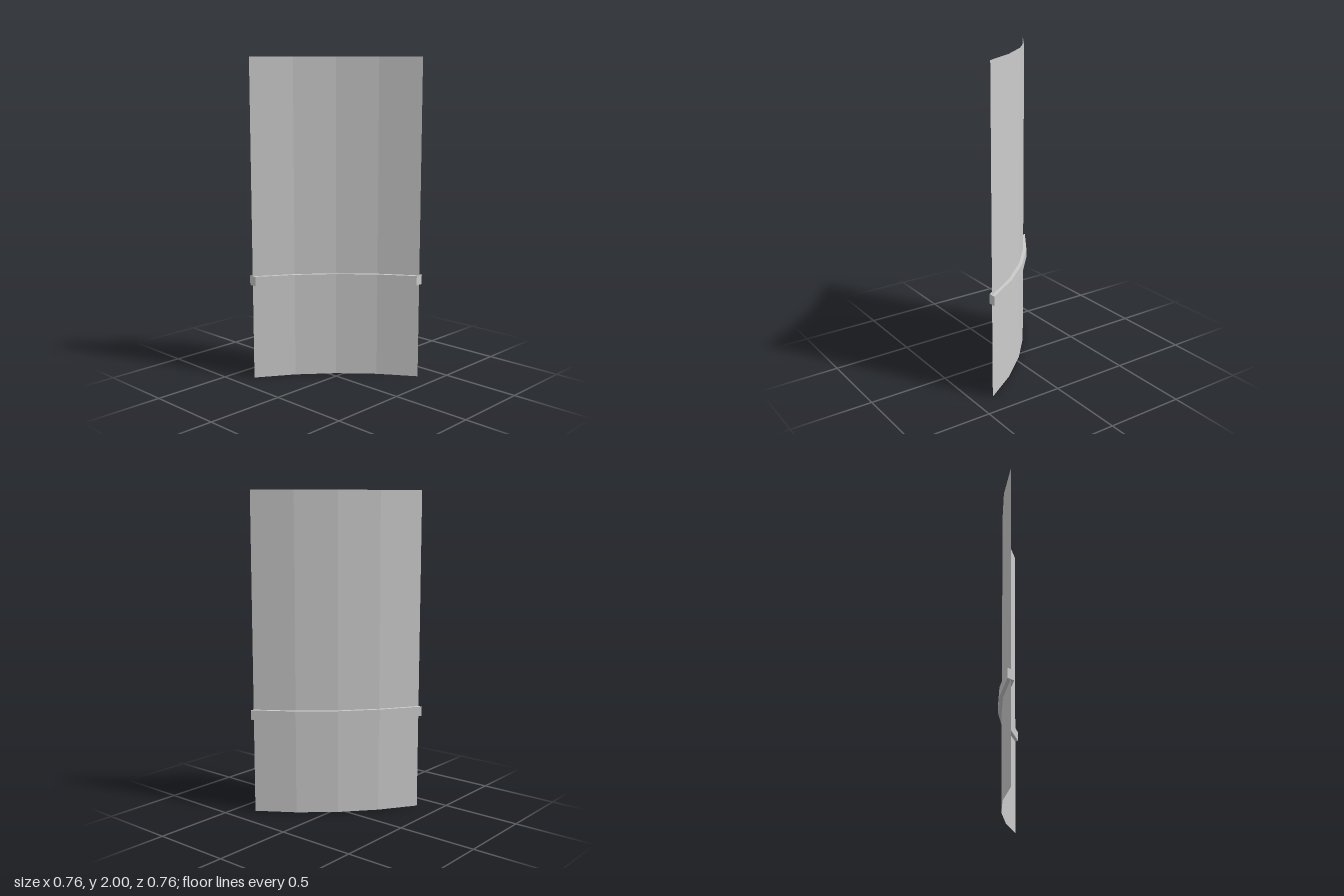
import * as THREE from 'three';

export function createModel() {
  const group = new THREE.Group();
  const sheetMaterial = new THREE.MeshStandardMaterial({ color: 0xcccccc, flatShading: true, side: THREE.DoubleSide });
  const railMaterial = new THREE.MeshStandardMaterial({ color: 0xcccccc, flatShading: true });

  // Plan outlines as [x, z], running from the front right end to the back left end
  const outer = [[-0.38, 0.378], [-0.225, 0.145], [-0.053, -0.053], [0.146, -0.227], [0.378, -0.38]];
  const inner = [[-0.33, 0.378], [-0.192, 0.172], [-0.022, -0.022], [0.172, -0.192], [0.378, -0.33]];
  const middle = outer.map(([x, z], i) => [(x + inner[i][0]) / 2, (z + inner[i][1]) / 2]);

  // Thin curved panel: the middle line raised to full height
  const height = 2;
  const positions = [];
  const indices = [];
  middle.forEach(([x, z], i) => {
    positions.push(x, 0, z, x, height, z);
    if (i > 0) {
      const a = 2 * (i - 1);
      indices.push(a, a + 2, a + 3, a, a + 3, a + 1);
    }
  });
  const sheet = new THREE.BufferGeometry();
  sheet.setAttribute('position', new THREE.Float32BufferAttribute(positions, 3));
  sheet.setIndex(indices);
  sheet.computeVertexNormals();
  const panel = new THREE.Mesh(sheet, sheetMaterial);
  panel.name = 'curvedPanel';
  group.add(panel);

  // Rail wrapping both faces of the panel
  const outline = [...inner, ...[...outer].reverse()].map(([x, z]) => new THREE.Vector2(x, -z));
  const railGeometry = new THREE.ExtrudeGeometry(new THREE.Shape(outline), { depth: 0.06, bevelEnabled: false });
  railGeometry.rotateX(-Math.PI / 2);
  const rail = new THREE.Mesh(railGeometry, railMaterial);
  rail.name = 'rail';
  rail.position.y = 0.6;
  group.add(rail);

  return group;
}
